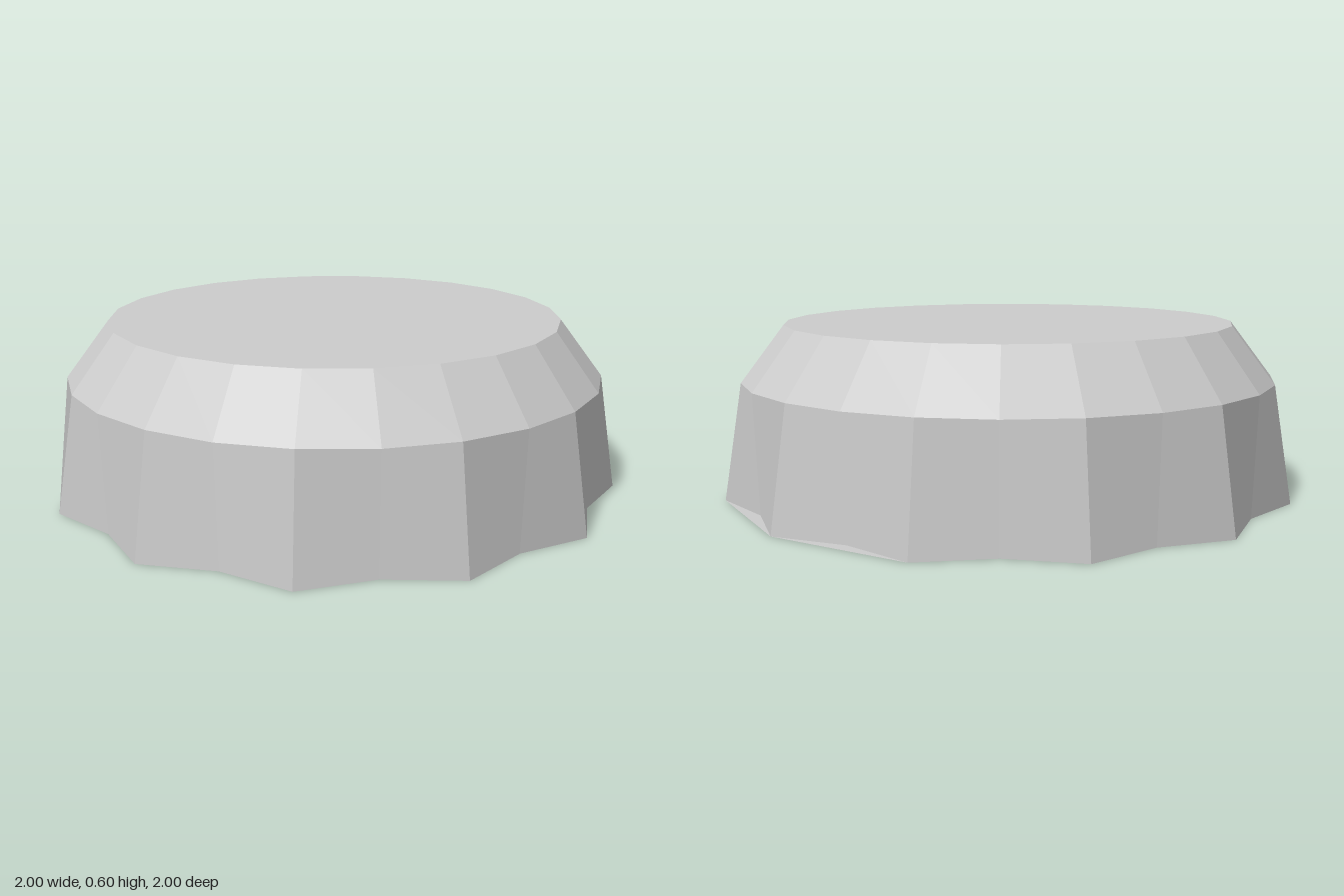
import * as THREE from 'three';

const SIDES = 24;
const grey = new THREE.MeshStandardMaterial({ color: 0xcccccc, side: THREE.DoubleSide });
grey.name = 'grey';

// Ring of points, counter-clockwise from above, starting at +x
function ring(y, radiusAt) {
  return Array.from({ length: SIDES }, (_, i) => {
    const a = Math.PI / 2 + (i / SIDES) * Math.PI * 2;
    const r = radiusAt(i);
    return new THREE.Vector3(Math.sin(a) * r, y, Math.cos(a) * r);
  });
}

function mesh(name, points, normals) {
  const geometry = new THREE.BufferGeometry().setFromPoints(points);
  if (normals) {
    geometry.setAttribute('normal', new THREE.Float32BufferAttribute(normals.flatMap(n => n.toArray()), 3));
  } else {
    geometry.computeVertexNormals();
  }
  const m = new THREE.Mesh(geometry, grey);
  m.name = name;
  return m;
}

// Band of flat quads between two rings, one normal per quad
function band(name, low, high) {
  const points = [], normals = [];
  for (let i = 0; i < SIDES; i++) {
    const j = (i + 1) % SIDES;
    const n = high[j].clone().sub(low[i]).cross(high[i].clone().sub(low[j])).normalize();
    points.push(low[i], low[j], high[i], low[j], high[j], high[i]);
    for (let k = 0; k < 6; k++) normals.push(n);
  }
  return mesh(name, points, normals);
}

// Flat cap fanned from the +x point
function cap(name, points, up) {
  const tris = [];
  for (let i = 1; i < SIDES - 1; i++) {
    tris.push(points[0], points[up ? i : i + 1], points[up ? i + 1 : i]);
  }
  return mesh(name, tris);
}

export function createModel() {
  const group = new THREE.Group();
  group.name = 'scallopedCap';

  const base = ring(0, i => (i % 2 ? 0.92 : 1)); // twelve points with valleys between
  const rim = ring(0.405, () => 0.935);
  const top = ring(0.6, () => 0.787);

  group.add(
    band('scallopedWall', base, rim),
    band('bevel', rim, top),
    cap('topFace', top, true),
    cap('bottomFace', base, false)
  );
  return group;
}
